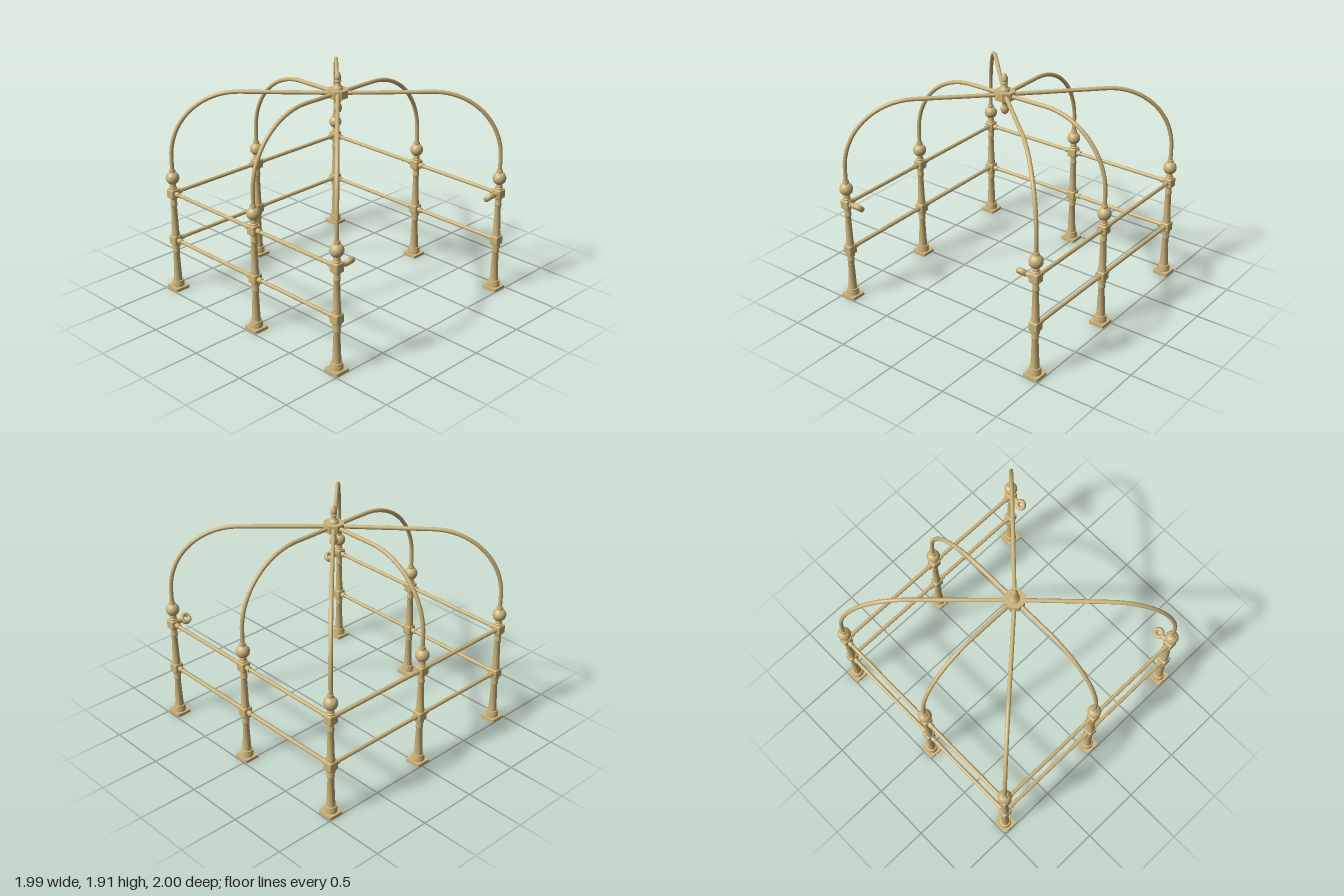
import * as THREE from 'three';
import { RoundedBoxGeometry } from 'three/addons/geometries/RoundedBoxGeometry.js';
import { toCreasedNormals } from 'three/addons/utils/BufferGeometryUtils.js';

const brass = new THREE.MeshStandardMaterial({ color: 0xcab279 });
const X = 0.927, Z = 0.933, MX = -0.025, MZ = 0.045;
const RAIL_Y = [0.446, 0.86], TOP = 1.731;

function add(parent, name, geometry, x = 0, y = 0, z = 0) {
  const mesh = new THREE.Mesh(geometry, brass);
  mesh.name = name;
  mesh.position.set(x, y, z);
  parent.add(mesh);
  return mesh;
}

function turned(points, segments = 28) {
  const profile = points.map(([r, y]) => new THREE.Vector2(r, y));
  return toCreasedNormals(new THREE.LatheGeometry(profile, segments), 0.6);
}

// Ball profile between two neck radii
function ball(cy, r, neckLow, neckHigh) {
  const from = -Math.acos(neckLow / r), to = Math.acos(neckHigh / r);
  return Array.from({ length: 13 }, (_, i) => {
    const a = from + (to - from) * i / 12;
    return [r * Math.cos(a), cy + r * Math.sin(a)];
  });
}

// Straight round bar between two points
function bar(parent, name, a, b, r) {
  const dir = b.clone().sub(a);
  const mesh = add(parent, name, new THREE.CylinderGeometry(r, r, dir.length(), 16));
  mesh.position.copy(a).add(b).multiplyScalar(0.5);
  mesh.quaternion.setFromUnitVectors(new THREE.Vector3(0, 1, 0), dir.normalize());
}

// Square foot plate with clipped corners and a round bore
function makePlate() {
  const h = 0.067, c = h - 0.008;
  const shape = new THREE.Shape([[-c, -h], [c, -h], [h, -c], [h, c], [c, h], [-c, h], [-h, c], [-h, -c]]
    .map(([x, y]) => new THREE.Vector2(x, y)));
  shape.holes.push(new THREE.Path().absarc(0, 0, 0.042, 0, Math.PI * 2, true));
  return new THREE.ExtrudeGeometry(shape, { depth: 0.025, bevelEnabled: false, curveSegments: 14 })
    .rotateX(-Math.PI / 2);
}

const columnGeo = turned([
  [0, 0.022], [0.05, 0.022], [0.05, 0.055], [0.046, 0.065], [0.046, 0.076], [0.036, 0.078],
  [0.034, 0.1], [0.025, 0.325], [0.029, 0.335], [0.03, 0.35], [0.026, 0.363], [0.026, 0.375],
  [0.034, 0.38], [0.034, 0.505], [0.03, 0.525], [0.0235, 0.745], [0.028, 0.752], [0.028, 0.77],
  [0.025, 0.777], [0.025, 0.81], [0.032, 0.815], [0.032, 0.91], [0.026, 0.915], [0.026, 0.93],
  [0.022, 0.94], ...ball(0.992, 0.055, 0.022, 0.022), [0.027, 1.047], [0.024, 1.067], [0, 1.067],
]);
const plateGeo = makePlate();
const jointGeo = new RoundedBoxGeometry(0.08, 0.08, 0.08, 3, 0.012);

function makePost(x, z) {
  const post = new THREE.Group();
  post.name = 'post';
  post.position.set(x, 0, z);
  add(post, 'basePlate', plateGeo);
  add(post, 'column', columnGeo);
  for (const y of RAIL_Y) add(post, 'railJoint', jointGeo, 0, y, 0);
  return post;
}

// Two rails with sockets at both ends
function makeRails(a, b) {
  const rails = new THREE.Group();
  rails.name = 'railPair';
  for (const y of RAIL_Y) {
    const p = new THREE.Vector3(a[0], y, a[1]), q = new THREE.Vector3(b[0], y, b[1]);
    const step = q.clone().sub(p).normalize().multiplyScalar(0.078);
    bar(rails, 'rail', p, q, 0.0155);
    bar(rails, 'railSocket', p, p.clone().add(step), 0.021);
    bar(rails, 'railSocket', q, q.clone().sub(step), 0.021);
  }
  return rails;
}

// Upright pipe, quarter bend, then level run into the hub
function makeArch([x, z]) {
  const R = 0.56, start = new THREE.Vector3(x, 0, z);
  const inward = new THREE.Vector3(MX - x, 0, MZ - z), length = inward.length();
  inward.normalize();
  const at = (d, y) => start.clone().addScaledVector(inward, d).setY(y);
  const points = [at(0, 1.04), at(0, 1.11)];
  for (let i = 0; i <= 14; i++) {
    const a = i / 14 * Math.PI / 2;
    points.push(at(R * (1 - Math.cos(a)), TOP - R + R * Math.sin(a)));
  }
  points.push(at(R + 0.06, TOP), at(length, TOP));
  return new THREE.TubeGeometry(new THREE.CatmullRomCurve3(points), 72, 0.0165, 14);
}

export function createModel() {
  const model = new THREE.Group();
  model.name = 'domedCanopyFrame';

  // Posts run round three sides, leaving the front open
  const ring = [[-X, Z], [-X, MZ], [-X, -Z], [MX, -Z], [X, -Z], [X, MZ], [X, Z]];
  ring.forEach((p, i) => {
    model.add(makePost(...p));
    add(model, 'archPipe', makeArch(p));
    if (i) model.add(makeRails(ring[i - 1], p));
  });

  // Tilted, thick eyelets on the two front posts
  for (const s of [-1, 1]) {
    const y = RAIL_Y[1];
    const eyeGeo = new THREE.TorusGeometry(0.0325, 0.0165, 14, 32).scale(1, 1, 1.3);
    const eye = add(model, 'eyelet', eyeGeo, s * 0.805, y, Z);
    eye.rotation.x = Math.PI / 4;
    const bore = new THREE.Vector3(s * X, y, Z);
    bar(model, 'eyeletStem', bore, new THREE.Vector3(s * 0.845, y, Z), 0.02);
    bar(model, 'eyeletCollar', bore, new THREE.Vector3(s * 0.875, y, Z), 0.026);
  }

  // Octagonal hub with finial above and drop below
  const hub = new THREE.Group();
  hub.name = 'crownHub';
  hub.position.set(MX, 0, MZ);
  model.add(hub);
  const block = add(hub, 'hubBlock',
    toCreasedNormals(new THREE.CylinderGeometry(0.086, 0.086, 0.064, 8), 0.3), 0, TOP, 0);
  block.rotation.y = Math.PI / 8;
  add(hub, 'finial', turned([
    [0.041, 1.745], [0.041, 1.775], [0.036, 1.783], [0.025, 1.794], [0.02, 1.81], [0.02, 1.818],
    [0.027, 1.824], [0.027, 1.832], [0.022, 1.838], [0.027, 1.852], [0.026, 1.867], [0.02, 1.885],
    [0.012, 1.9], [0.006, 1.909], [0, 1.911],
  ]));
  add(hub, 'drop', turned([
    [0, 1.568], [0.014, 1.571], [0.026, 1.582], [0.033, 1.6], [0.033, 1.614], [0.028, 1.632],
    [0.021, 1.643], [0.021, 1.65], [0.026, 1.665], [0.036, 1.682], [0.041, 1.688], [0.041, 1.72],
  ]));
  return model;
}
